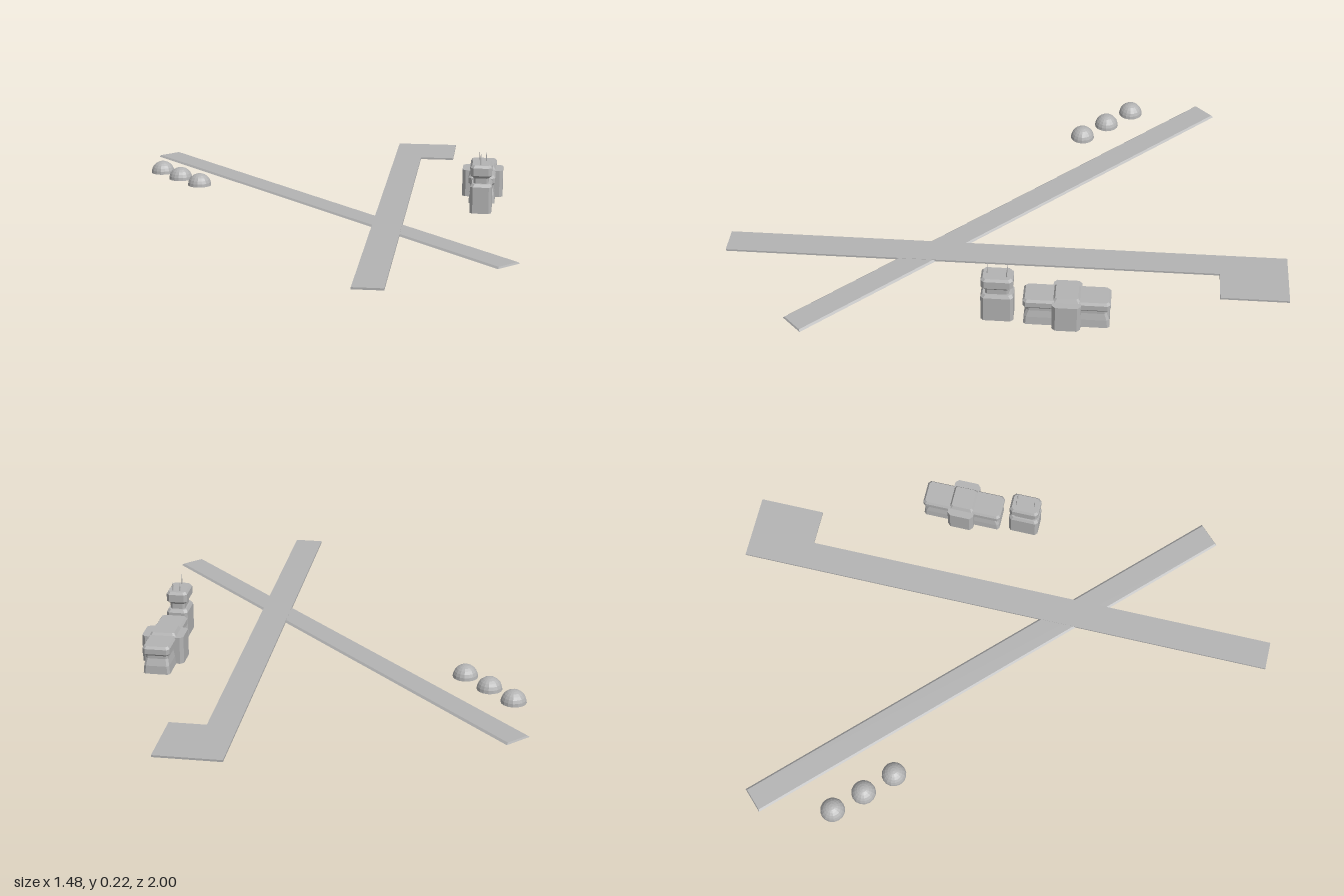
import * as THREE from 'three';

const concrete = new THREE.MeshStandardMaterial({ color: 0xb3b3b3 });
concrete.name = 'concrete grey';
concrete.flatShading = true;
concrete.side = THREE.DoubleSide;

// Stack of chamfered rectangles, each [halfX, halfZ, y, chamfer], capped on top
function loft(rings, closedBottom = false) {
  const loops = rings.map(([x, z, y, c]) => [
    [x, y, z - c], [x, y, c - z], [x - c, y, -z], [c - x, y, -z],
    [-x, y, c - z], [-x, y, z - c], [c - x, y, z], [x - c, y, z],
  ]);
  const pos = [];
  const tri = (a, b, c) => pos.push(...a, ...b, ...c);
  for (let r = 0; r < loops.length - 1; r++) {
    const a = loops[r], b = loops[r + 1];
    for (let i = 0; i < 8; i++) {
      const j = (i + 1) % 8;
      tri(a[i], a[j], b[j]);
      tri(a[i], b[j], b[i]);
    }
  }
  const top = loops[loops.length - 1], bottom = loops[0];
  for (let i = 1; i < 7; i++) {
    tri(top[0], top[i], top[i + 1]);
    if (closedBottom) tri(bottom[0], bottom[i + 1], bottom[i]);
  }
  const g = new THREE.BufferGeometry();
  g.setAttribute('position', new THREE.Float32BufferAttribute(pos, 3));
  g.computeVertexNormals();
  return g;
}

function add(parent, name, geometry, x = 0, y = 0, z = 0) {
  const m = new THREE.Mesh(geometry, concrete);
  m.name = name;
  m.position.set(x, y, z);
  parent.add(m);
  return m;
}

export function createModel() {
  const model = new THREE.Group();
  model.name = 'airfield';

  // Straight runway with a parking apron at its far end
  const outline = [[0.215, -1], [0.32, -1], [0.32, 0.76], [0.45, 0.76], [0.45, 1], [0.215, 1]];
  const shape = new THREE.Shape(outline.map(([x, y]) => new THREE.Vector2(x, y)));
  const slab = new THREE.ExtrudeGeometry(shape, { depth: 0.007, bevelEnabled: false });
  slab.rotateX(-Math.PI / 2);
  add(model, 'straightRunway', slab);

  // Diagonal runway with sloped sides
  const diagonal = loft([[0.995, 0.05, 0, 0], [0.992, 0.043, 0.006, 0]], true);
  add(model, 'diagonalRunway', diagonal, -0.003, 0, -0.008).rotation.y = -Math.PI / 4;

  // Row of three domed hangars
  for (const [x, z] of [[-0.674, -0.42], [-0.585, -0.328], [-0.494, -0.238]]) {
    add(model, 'domeHangar',
      new THREE.SphereGeometry(0.045, 16, 6, 0, Math.PI * 2, 0, Math.PI / 2), x, 0, z);
  }

  // Terminal: long hall with overhanging roof, crossed by a wider block
  const terminal = new THREE.Group();
  terminal.name = 'terminal';
  terminal.position.set(0.585, 0, -0.236);
  model.add(terminal);
  add(terminal, 'hall', loft([
    [0.048, 0.147, 0, 0.008], [0.045, 0.145, 0.03, 0.008], [0.04, 0.136, 0.055, 0.008],
    [0.04, 0.136, 0.066, 0.008], [0.049, 0.149, 0.076, 0.01], [0.049, 0.149, 0.095, 0.01],
    [0.043, 0.142, 0.104, 0.008],
  ]));
  add(terminal, 'crossBlock', loft([
    [0.075, 0.049, 0, 0.012], [0.075, 0.049, 0.1, 0.012],
  ]));
  add(terminal, 'roofCap', loft([
    [0.049, 0.049, 0.098, 0.008], [0.041, 0.039, 0.113, 0.006],
  ]));

  // Control tower: shaft, neck and cab
  const tower = new THREE.Group();
  tower.name = 'controlTower';
  tower.position.set(0.586, 0, 0.001);
  model.add(tower);
  add(tower, 'shaft', loft([
    [0.039, 0.056, 0, 0.01], [0.039, 0.056, 0.097, 0.01], [0.033, 0.049, 0.108, 0.01],
  ]));
  add(tower, 'cab', loft([
    [0.027, 0.041, 0.106, 0.008], [0.027, 0.041, 0.127, 0.008], [0.038, 0.055, 0.139, 0.011],
    [0.038, 0.055, 0.167, 0.011], [0.032, 0.048, 0.176, 0.009],
  ]));
  // Antennas on the cab roof
  for (const [x, z, h] of [[-0.002, 0.034, 0.04], [-0.01, -0.033, 0.032], [0.016, -0.033, 0.032]]) {
    add(tower, 'antenna', new THREE.CylinderGeometry(0.0012, 0.002, h, 6), x, 0.175 + h / 2, z);
  }

  return model;
}
